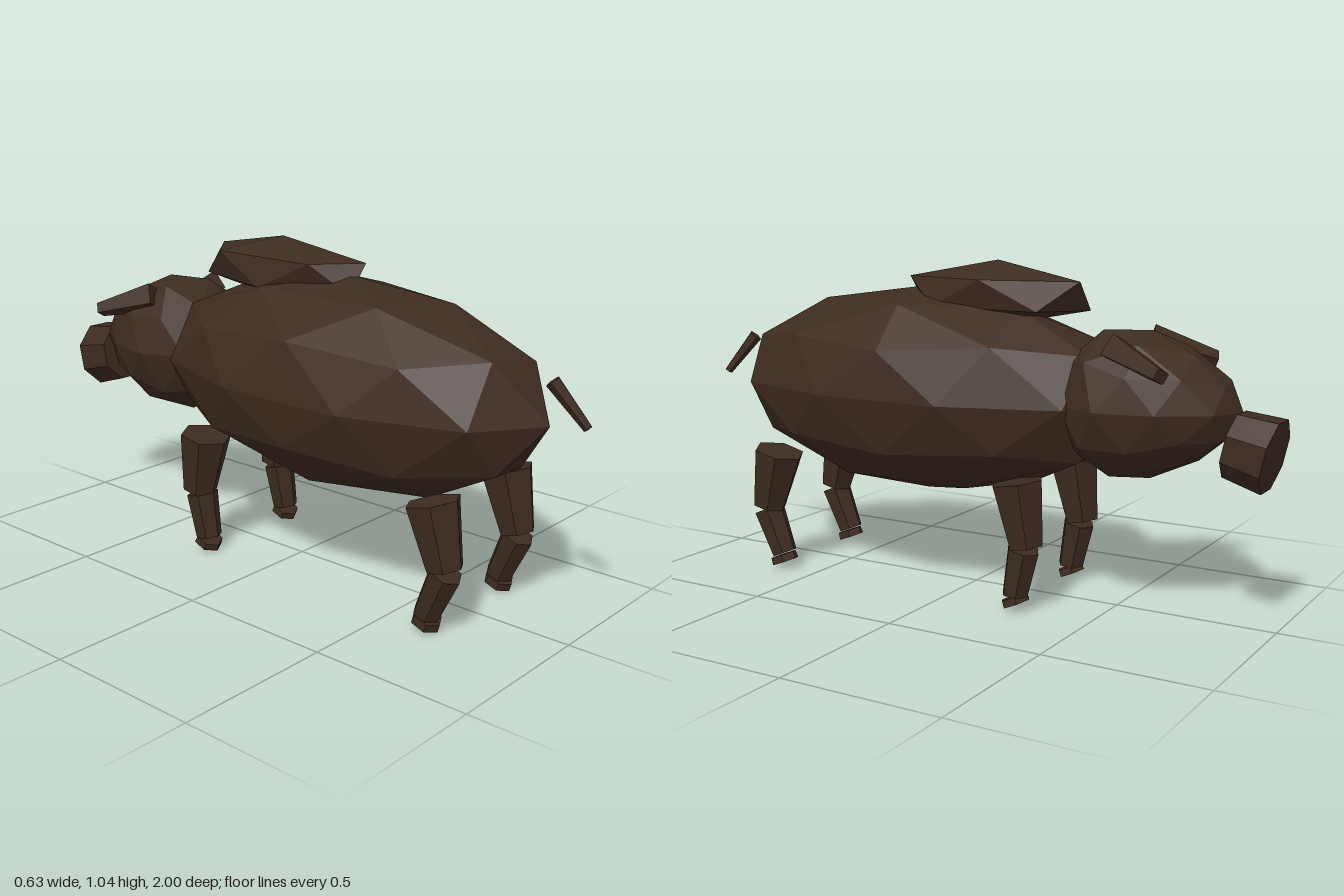
import * as THREE from 'three';

export function createModel() {
  const group = new THREE.Group();
  const brown = new THREE.MeshStandardMaterial({ color: 0x3d2b1f });
  brown.name = 'darkBrown';

  // Adds a faceted mesh
  function add(name, geometry, position = [0, 0, 0]) {
    const faceted = geometry.index ? geometry.toNonIndexed() : geometry;
    faceted.computeVertexNormals();
    const mesh = new THREE.Mesh(faceted, brown);
    mesh.name = name;
    mesh.position.set(...position);
    group.add(mesh);
    return mesh;
  }

  // Faceted ball with a corner straight up and one upper corner towards +x
  function ball(detail) {
    const g = new THREE.IcosahedronGeometry(1, detail);
    g.rotateX(-Math.atan((1 + Math.sqrt(5)) / 2));
    g.rotateY(Math.PI / 2);
    return g;
  }

  // Tapered prism from point a to point b
  function prism(name, a, b, ra, rb, sides, turn = 0, flatten = 1) {
    const from = new THREE.Vector3(...a);
    const to = new THREE.Vector3(...b);
    const dir = to.clone().sub(from);
    const g = new THREE.CylinderGeometry(ra, rb, dir.length(), sides);
    g.rotateY(turn);
    g.scale(1, 1, flatten);
    const mesh = add(name, g, from.add(to).multiplyScalar(0.5).toArray());
    mesh.quaternion.setFromUnitVectors(new THREE.Vector3(0, -1, 0), dir.normalize());
  }

  // Body and the raised ridge on the back
  add('body', ball(1).scale(0.331, 0.33, 0.72), [0.002, 0.626, 0.18]);
  add('backRidge', ball(0).scale(0.135, 0.101, 0.353), [0.004, 0.943, -0.08]);

  // Head: a ball narrowed towards the nose
  const head = ball(1);
  const p = head.attributes.position;
  for (let i = 0; i < p.count; i++) {
    const z = p.getZ(i);
    const r = 0.22 * (1 + 0.32 * z);
    p.setXYZ(i, p.getX(i) * r, p.getY(i) * r, z * 0.28);
  }
  add('head', head, [0.003, 0.635, -0.6]);

  // Snout, tipped slightly down
  prism('snout', [0.005, 0.544, -0.855], [0.005, 0.518, -0.975], 0.102, 0.114, 8, Math.PI / 8);

  // Ears, wide at the head and narrow at the tip
  for (const side of [-1, 1]) {
    prism(side > 0 ? 'leftEar' : 'rightEar',
      [side * 0.125, 0.805, -0.54], [side * 0.217, 0.752, -0.715], 0.065, 0.032, 4, Math.PI / 4, 0.75);
  }

  // Tail
  prism('tail', [0.005, 0.755, 0.9], [0.047, 0.629, 0.992], 0.023, 0.014, 5);

  // Legs: thigh, shin and hoof given as [y, z] pairs
  const legs = {
    front: [[0.4, -0.255], [0.205, -0.288], [0.195, -0.278], [0.05, -0.25], [0.045, -0.247], [0.024, -0.256]],
    hind: [[0.4, 0.65], [0.208, 0.698], [0.197, 0.7], [0.052, 0.638], [0.045, 0.645], [0.022, 0.636]],
  };
  for (const [end, pts] of Object.entries(legs)) {
    for (const side of [-1, 1]) {
      const x = 0.006 + side * 0.187;
      const [a, b, c, d, e, f] = pts.map(([y, z]) => [x, y, z]);
      const label = end + (side > 0 ? 'Left' : 'Right');
      prism(label + 'Thigh', a, b, 0.084, 0.056, 6);
      prism(label + 'Shin', c, d, 0.052, 0.042, 6);
      prism(label + 'Hoof', e, f, 0.044, 0.046, 6);
    }
  }
  return group;
}
